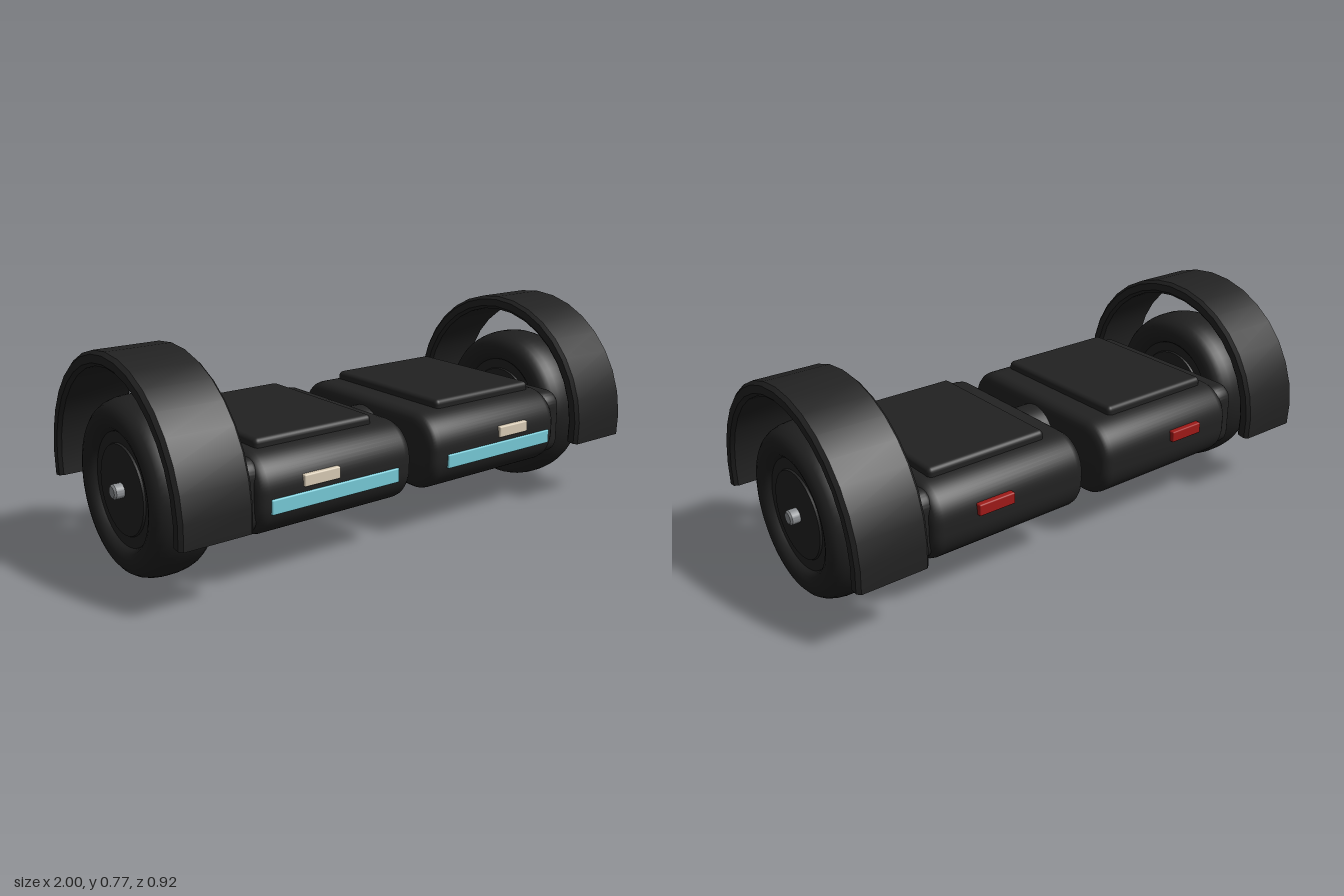
import * as THREE from 'three';
import { mergeGeometries, toCreasedNormals } from 'three/addons/utils/BufferGeometryUtils.js';
import { RoundedBoxGeometry } from 'three/addons/geometries/RoundedBoxGeometry.js';

const mat = (name, color) => {
  const m = new THREE.MeshStandardMaterial({ color });
  m.name = name;
  return m;
};

// Rounded rectangle centred on the origin
function roundedRect(w, h, r) {
  const s = new THREE.Shape(), x = w / 2, y = h / 2, q = Math.PI / 2;
  s.absarc(x - r, y - r, r, 0, q);
  s.absarc(-x + r, y - r, r, q, 2 * q);
  s.absarc(-x + r, -y + r, r, 2 * q, 3 * q);
  s.absarc(x - r, -y + r, r, 3 * q, 4 * q);
  return s;
}

// Block with a rounded z-y profile, running along x, with softened ends
function block(length, height, depth, radius, bevel) {
  const g = new THREE.ExtrudeGeometry(roundedRect(depth, height, radius), {
    depth: length - 2 * bevel, curveSegments: 8,
    bevelThickness: bevel, bevelSize: bevel, bevelOffset: -bevel, bevelSegments: 4,
  });
  g.translate(0, 0, -length / 2 + bevel).rotateY(Math.PI / 2);
  return toCreasedNormals(g, 0.6);
}

// Solid turned around the x axis from half a profile of [radius, offset] points
function turned(half, segments = 48) {
  const pts = [...half.map(([r, o]) => [r, -o]), ...half.slice().reverse()];
  const g = new THREE.LatheGeometry(pts.map(p => new THREE.Vector2(...p)), segments);
  return toCreasedNormals(g.rotateZ(Math.PI / 2), 0.6);
}

// Arched mudguard: partial lathe with both ends capped
function fenderGeometry() {
  const inner = 0.41, outer = 0.462, half = 0.13, c = 0.012, start = -0.135;
  const pts = [
    [inner, -half + c], [inner + c, -half], [outer - c, -half], [outer, -half + c],
    [outer, half - c], [outer - c, half], [inner + c, half], [inner, half - c],
  ].map(p => new THREE.Vector2(...p));
  const arch = new THREE.LatheGeometry([...pts, pts[0].clone()], 18, start, Math.PI - 2 * start);
  arch.rotateZ(Math.PI / 2);
  const cap = new THREE.ShapeGeometry(new THREE.Shape(pts));
  cap.rotateY(start - Math.PI / 2).rotateZ(Math.PI / 2);
  const farCap = cap.clone().rotateY(Math.PI);
  return toCreasedNormals(mergeGeometries([arch, cap, farCap]), 0.5);
}

export function createModel() {
  const model = new THREE.Group();
  model.name = 'balanceBoard';
  const black = mat('blackPlastic', 0x222222);
  const rubber = mat('tyreRubber', 0x202020);
  const blue = mat('blueLight', 0x78ccd9);
  const cream = mat('creamLight', 0xd9ccb6);
  const red = mat('redLight', 0xa01a18);
  const steel = mat('steel', 0x8c8f92);

  const add = (name, geometry, material, x, y, z = 0) => {
    const m = new THREE.Mesh(geometry, material);
    m.name = name;
    m.position.set(x, y, z);
    model.add(m);
  };

  // Tyre profile: flat-ish tread with round shoulders, open at the hub
  const tyreProfile = [
    [0.19, 0.07], [0.2, 0.092], [0.212, 0.104], [0.23, 0.111], [0.25, 0.112], [0.268, 0.106],
    [0.283, 0.094], [0.295, 0.075], [0.303, 0.05], [0.307, 0.02],
  ];
  const geo = {
    body: block(0.64, 0.29, 0.8, 0.125, 0.04),
    side: block(0.09, 0.25, 0.735, 0.06, 0.025),
    pad: new RoundedBoxGeometry(0.48, 0.06, 0.595, 3, 0.018),
    tyre: turned(tyreProfile, 64),
    hub: turned([[0, 0.09], [0.155, 0.09], [0.158, 0.083], [0.202, 0.083]]),
    axle: turned([[0, 0.125], [0.02, 0.125], [0.026, 0.119]], 20),
    mount: turned([[0, 0.05], [0.09, 0.05]], 32),
    fender: fenderGeometry(),
    strip: new RoundedBoxGeometry(0.525, 0.052, 0.04, 2, 0.005),
    lamp: new RoundedBoxGeometry(0.145, 0.042, 0.05, 2, 0.005),
  };

  // Swivel joint between the two halves
  add('centreJoint', turned([[0, 0.08], [0.11, 0.08]], 32), black, 0, 0.318);

  for (const [s, side] of [[1, 'left'], [-1, 'right']]) {
    const put = (name, g, m, x, y, z) => add(side + name, g, m, s * x, y, z);
    put('Body', geo.body, black, 0.365, 0.315);
    put('SideHousing', geo.side, black, 0.697, 0.32);
    put('FootPad', geo.pad, black, 0.39, 0.46);
    put('WheelMount', geo.mount, black, 0.765, 0.307);
    put('Tyre', geo.tyre, rubber, 0.87, 0.307);
    put('Hub', geo.hub, black, 0.87, 0.307);
    put('Axle', geo.axle, steel, 0.87, 0.307);
    put('Fender', geo.fender, black, 0.87, 0.31);
    // Lights
    put('FrontStrip', geo.strip, blue, 0.378, 0.291, 0.387);
    put('Headlight', geo.lamp, cream, 0.443, 0.355, 0.384);
    put('TailLight', geo.lamp, red, 0.443, 0.35, -0.391);
  }
  return model;
}
